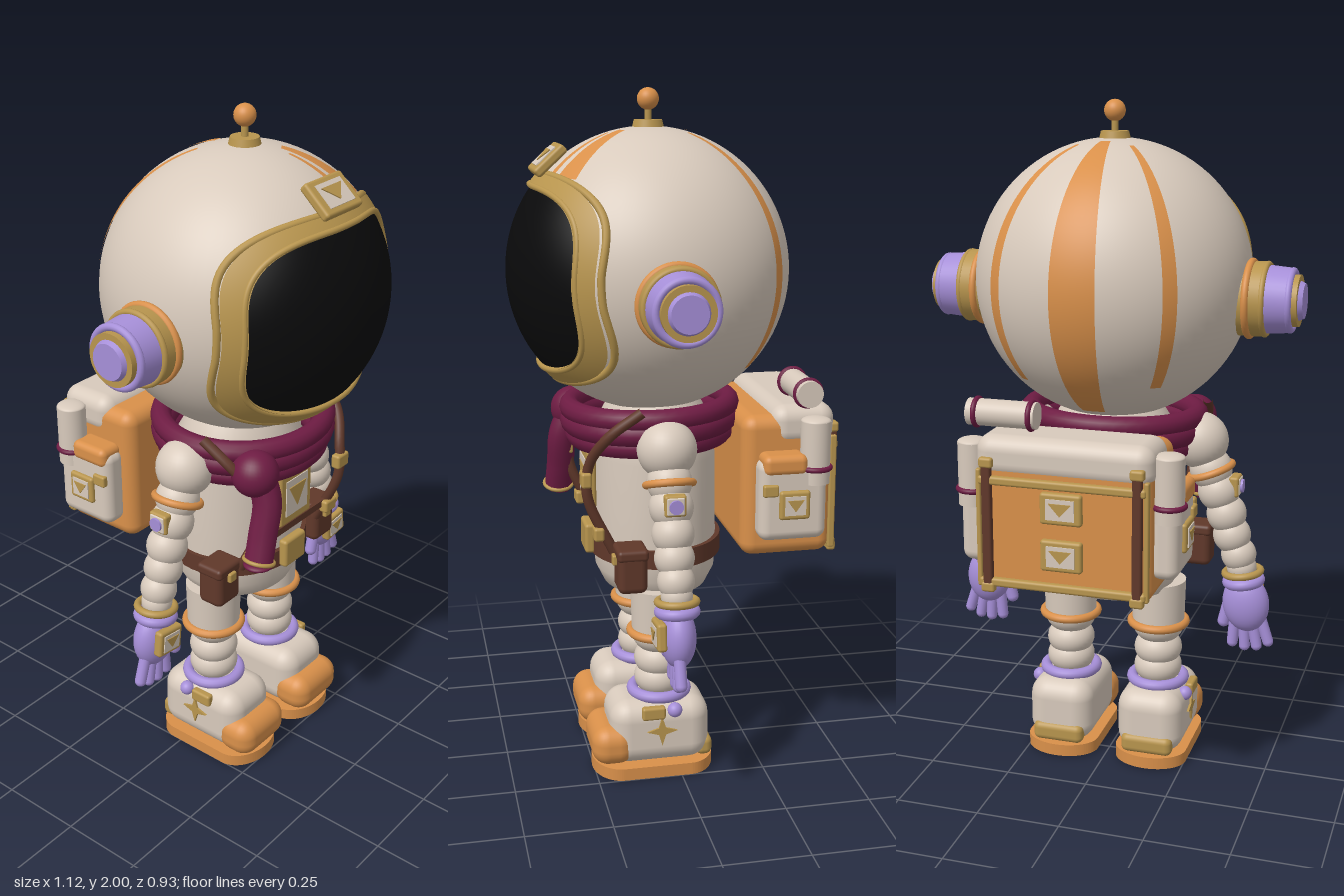
import * as THREE from 'three';
import { RoundedBoxGeometry } from 'three/addons/geometries/RoundedBoxGeometry.js';

const V = (x, y, z) => new THREE.Vector3(x, y, z);
const mat = (name, color, side = THREE.FrontSide) => Object.assign(new THREE.MeshStandardMaterial({ color, side }), { name });
const white = mat('suit white', 0xd8cabc);
const orange = mat('orange', 0xd9904a);
const gold = mat('gold', 0xb8954e);
const lavender = mat('lavender', 0xa68fd8);
const maroon = mat('maroon', 0x6e1c43);
const brown = mat('brown leather', 0x60382a);
const black = mat('visor black', 0x0a0a0b);

function add(parent, name, geo, material, pos = [0, 0, 0], rot = [0, 0, 0], scale = [1, 1, 1]) {
  const m = new THREE.Mesh(geo, material);
  m.name = name;
  m.position.set(...pos);
  m.rotation.set(...rot);
  m.scale.set(...scale);
  parent.add(m);
  return m;
}
function group(parent, name, pos = [0, 0, 0], rot = [0, 0, 0]) {
  const g = new THREE.Group();
  g.name = name;
  g.position.set(...pos);
  g.rotation.set(...rot);
  parent.add(g);
  return g;
}
const ball = (r) => new THREE.SphereGeometry(r, 32, 20);
const cyl = (r, h, r2 = r) => new THREE.CylinderGeometry(r2, r, h, 40);
const box = (w, h, d, r = 0.01) => new RoundedBoxGeometry(w, h, d, 4, r);
const ring = (R, r) => new THREE.TorusGeometry(R, r, 12, 48).rotateX(Math.PI / 2);
const tube = (pts, r, closed = false) =>
  new THREE.TubeGeometry(new THREE.CatmullRomCurve3(pts, closed), closed ? 128 : 32, r, 10, closed);

// Framed plate with a triangle, facing +z
function badge(parent, name, w, h, pos, rot) {
  const g = group(parent, name, pos, rot);
  add(g, 'badgeFrame', box(w, h, 0.028, 0.009), gold);
  add(g, 'badgePanel', new THREE.BoxGeometry(w * 0.68, h * 0.66, 0.006), white, [0, 0, 0.014]);
  const s = new THREE.Shape([new THREE.Vector2(-w * 0.27, h * 0.2), new THREE.Vector2(0, -h * 0.2), new THREE.Vector2(w * 0.27, h * 0.2)]);
  add(g, 'badgeTriangle', new THREE.ExtrudeGeometry(s, { depth: 0.005, bevelEnabled: false }), gold, [0, 0, 0.015]);
}

const R = 0.405;
// Point of a squarish oval lying on a sphere of radius r
function ovalPoint(a, hw, hh, r) {
  const p = (c) => Math.sign(c) * Math.abs(c) ** (2 / 3);
  const x = hw * p(Math.cos(a)), y = hh * p(Math.sin(a)) - 0.01;
  return V(x, y, Math.sqrt(r * r - x * x - y * y));
}
// Band of the sphere between two ovals
function ovalPatch(inner, outer, r) {
  const g = new THREE.RingGeometry(1, 2, 128, 16);
  const p = g.attributes.position, n = g.attributes.normal;
  for (let i = 0; i < p.count; i++) {
    const t = Math.hypot(p.getX(i), p.getY(i)) - 1, a = Math.atan2(p.getY(i), p.getX(i));
    const v = ovalPoint(a, inner[0] + (outer[0] - inner[0]) * t, inner[1] + (outer[1] - inner[1]) * t, r);
    p.setXYZ(i, v.x, v.y, v.z);
    v.normalize();
    n.setXYZ(i, v.x, v.y, v.z);
  }
  return g;
}
const ovalLoop = (hw, hh, r) => Array.from({ length: 64 }, (_, i) => ovalPoint((i + 0.5) / 64 * Math.PI * 2, hw, hh, r));

function buildHelmet(root) {
  const h = group(root, 'helmet', [0, 1.49, 0.05]);
  add(h, 'helmetShell', new THREE.SphereGeometry(R, 64, 48), white);
  add(h, 'visor', ovalPatch([0, 0], [0.33, 0.26], 0.411), black);
  add(h, 'visorFrame', ovalPatch([0.322, 0.252], [0.362, 0.29], 0.42), gold);
  add(h, 'visorInnerRim', tube(ovalLoop(0.325, 0.255, 0.416), 0.009, true), gold);
  add(h, 'visorOuterRim', tube(ovalLoop(0.36, 0.288, 0.41), 0.011, true), gold);
  // Painted stripes: azimuth from front, half width, polar start and end, in degrees
  const d = Math.PI / 180;
  for (const [az, hw, t0, t1] of [[180, 9.2, 13, 150], [142, 3, 18, 130], [-142, 3, 18, 130], [32, 7.5, 14, 48], [17, 2.4, 18, 46]])
    add(h, 'helmetStripe', new THREE.SphereGeometry(R + 0.003, 8, 40, (90 + az - hw) * d, 2 * hw * d, t0 * d, (t1 - t0) * d), orange);
  badge(h, 'helmetBadge', 0.16, 0.11, [0, 0.315, 0.287], [-0.83, 0, 0]);
  // Antenna
  add(h, 'antennaBase', cyl(0.045, 0.02, 0.04), gold, [0, 0.412, 0]);
  add(h, 'antennaStem', cyl(0.01, 0.06), gold, [0, 0.445, 0]);
  add(h, 'antennaBall', ball(0.031), orange, [0, 0.479, 0]);
  // Ear pods
  for (const s of [-1, 1]) {
    const e = group(h, 'earPod', [0, -0.04, 0], [0, 0, -s * Math.PI / 2]);
    add(e, 'earCollar', cyl(0.107, 0.08), gold, [0, 0.415, 0]);
    add(e, 'earCollarRing', ring(0.105, 0.011), orange, [0, 0.407, 0]);
    add(e, 'earCollarEdge', ring(0.1, 0.009), gold, [0, 0.452, 0]);
    add(e, 'earDrum', cyl(0.098, 0.07, 0.092), lavender, [0, 0.49, 0]);
    add(e, 'earDrumEdge', ring(0.083, 0.011), lavender, [0, 0.524, 0]);
    add(e, 'earTrim', cyl(0.074, 0.02), gold, [0, 0.538, 0]);
    add(e, 'earCap', cyl(0.062, 0.025, 0.05), lavender, [0, 0.549, 0]);
  }
}

function buildTorso(root) {
  const prof = [[0, 0.53], [0.13, 0.53], [0.18, 0.55], [0.208, 0.6], [0.213, 0.67], [0.21, 0.8], [0.208, 0.95], [0.2, 1.04], [0.15, 1.12]];
  add(root, 'torso', new THREE.LatheGeometry(prof.map((p) => new THREE.Vector2(...p)), 48), white, [0, 0, 0.035], [0, 0, 0], [1, 1, 0.86]);
  add(root, 'belt', cyl(0.224, 0.055), brown, [0, 0.675, 0.035], [0, 0, 0], [1, 1, 0.88]);
  add(root, 'beltBuckle', box(0.1, 0.09, 0.03), gold, [0, 0.695, 0.238]);
  badge(root, 'chestBadge', 0.15, 0.175, [0, 0.885, 0.235]);
  add(root, 'chestStrap', new THREE.BoxGeometry(0.38, 0.022, 0.012), brown, [0, 0.77, 0.225]);
  for (const s of [-1, 1]) {
    add(root, 'beltPouch', box(0.1, 0.12, 0.085, 0.02), brown, [s * 0.237, 0.66, 0.15]);
    add(root, 'pouchFlap', box(0.105, 0.035, 0.09, 0.012), brown, [s * 0.237, 0.715, 0.15]);
    add(root, 'pouchClasp', box(0.03, 0.03, 0.015, 0.005), gold, [s * 0.237, 0.695, 0.197]);
    const path = [V(s * 0.27, 1.13, 0.12), V(s * 0.25, 1.06, 0.21), V(s * 0.2, 0.97, 0.26), V(s * 0.19, 0.87, 0.265), V(s * 0.185, 0.7, 0.19)];
    add(root, 'shoulderStrap', tube(path, 0.015), brown);
    add(root, 'strapBuckle', box(0.055, 0.045, 0.03, 0.008), gold, [s * 0.19, 0.925, 0.27]);
    add(root, 'lowerStrapBuckle', box(0.055, 0.04, 0.03, 0.008), gold, [s * 0.185, 0.76, 0.235]);
  }
  // Scarf: stacked folds, knot and hanging tail
  for (const [y, r, t] of [[1.095, 0.25, 0.032], [1.055, 0.245, 0.036], [1.015, 0.232, 0.034]])
    add(root, 'scarfFold', ring(r, t), maroon, [0, y, 0.05], [0.03, 0, 0.02], [1, 1, 0.94]);
  add(root, 'scarfKnot', ball(0.068), maroon, [-0.2, 1.04, 0.25]);
  add(root, 'scarfTail', tube([V(-0.19, 1.05, 0.25), V(-0.19, 0.96, 0.285), V(-0.215, 0.86, 0.29), V(-0.24, 0.78, 0.295)], 0.043), maroon);
  add(root, 'scarfTailEnd', ball(0.043), maroon, [-0.24, 0.78, 0.295], [0, 0, 0], [1, 0.3, 1]);
  add(root, 'scarfTailRing', ring(0.043, 0.006), gold, [-0.237, 0.79, 0.295], [0, 0, -0.3]);
}

function buildArm(root, s) {
  const a = group(root, s > 0 ? 'leftArm' : 'rightArm', [0, 0, 0.05]);
  for (const [x, y, r] of [[0.265, 1.02, 0.085], [0.3, 0.935, 0.064], [0.325, 0.87, 0.063], [0.35, 0.8, 0.06], [0.368, 0.735, 0.057], [0.39, 0.675, 0.053], [0.4, 0.635, 0.045]])
    add(a, 'armSegment', ball(r), white, [s * x, y, 0]);
  add(a, 'upperArmRing', ring(0.066, 0.011), orange, [s * 0.3, 0.93, 0], [0, 0, s * 0.35]);
  // Round control on the outer arm
  const c = group(a, 'armControl', [s * 0.375, 0.89, 0], [0, s * Math.PI / 2, 0]);
  add(c, 'armControlPlate', box(0.062, 0.062, 0.03, 0.008), gold);
  add(c, 'armControlPanel', box(0.05, 0.05, 0.012, 0.004), white, [0, 0, 0.012]);
  add(c, 'armControlButton', cyl(0.02, 0.012), lavender, [0, 0, 0.019], [Math.PI / 2, 0, 0]);
  // Glove
  const g = group(a, 'glove', [s * 0.405, 0.61, 0], [0, 0, s * 0.12]);
  add(g, 'wristRing', ring(0.054, 0.011), gold, [0, 0.01, 0]);
  add(g, 'cuff', ring(0.048, 0.017), lavender, [0, -0.018, 0]);
  add(g, 'palm', ball(0.075), lavender, [0, -0.09, 0], [0, 0, 0], [0.95, 1.2, 0.68]);
  for (let i = 0; i < 4; i++)
    add(g, 'finger', new THREE.CapsuleGeometry(0.017, 0.075, 6, 14), lavender, [(i - 1.5) * 0.032, -0.18 - (i % 3 ? 0.012 : 0), 0.005], [0, 0, (i - 1.5) * 0.13]);
  add(g, 'thumb', new THREE.CapsuleGeometry(0.019, 0.06, 6, 14), lavender, [-s * 0.068, -0.125, 0.015], [0, 0, -s * 0.35]);
  badge(g, 'gloveBadge', 0.095, 0.08, [0, -0.08, 0.052]);
}

function buildLeg(root, s) {
  const l = group(root, s > 0 ? 'leftLeg' : 'rightLeg', [s * 0.143, 0, 0.05]);
  add(l, 'thigh', cyl(0.08, 0.14, 0.084), white, [0, 0.5, 0]);
  add(l, 'kneeRing', ring(0.084, 0.013), orange, [0, 0.432, 0]);
  for (const [y, r] of [[0.425, 0.08], [0.345, 0.074], [0.285, 0.074]])
    add(l, 'legSegment', ball(r), white, [0, y, 0], [0, 0, 0], [1, 0.8, 1]);
  add(l, 'ankleRing', ring(0.08, 0.017), lavender, [0, 0.245, 0]);
  add(l, 'ankleKnob', ball(0.022), lavender, [s * 0.095, 0.21, -0.03]);
  // Boot
  const b = group(l, 'boot');
  add(b, 'bootBody', box(0.205, 0.2, 0.3, 0.06), white, [0, 0.137, 0.01]);
  add(b, 'toeCap', box(0.212, 0.12, 0.13, 0.05), orange, [0, 0.1, 0.15]);
  add(b, 'heelPatch', box(0.16, 0.06, 0.05, 0.02), gold, [0, 0.072, -0.125]);
  const sole = new THREE.Shape();
  sole.absellipse(0, 0.1, 0.112, 0.083, 0, Math.PI);
  sole.absellipse(0, -0.1, 0.112, 0.083, Math.PI, Math.PI * 2);
  add(b, 'sole', new THREE.ExtrudeGeometry(sole, { depth: 0.037, bevelEnabled: false, curveSegments: 24 }), orange, [0, 0.003, 0.023], [-Math.PI / 2, 0, 0]);
  add(b, 'soleEmblem', cyl(0.02, 0.004), black, [0, 0.002, 0.03]);
  // Four-pointed star and clip on the outer side
  const star = new THREE.Shape(Array.from({ length: 8 }, (_, i) => {
    const r = i % 2 ? 0.015 : 0.045;
    return new THREE.Vector2(r * Math.sin(i * Math.PI / 4), r * Math.cos(i * Math.PI / 4));
  }));
  const starGeo = new THREE.ExtrudeGeometry(star, { depth: 0.009, bevelEnabled: false });
  add(b, 'bootStar', starGeo, gold, [s * 0.1, 0.15, 0.01], [0, s * Math.PI / 2, 0]);
  add(b, 'bootClip', box(0.025, 0.04, 0.07, 0.008), gold, [s * 0.1, 0.208, 0.035]);
}

function buildBackpack(root) {
  const p = group(root, 'backpack');
  add(p, 'packBody', box(0.5, 0.42, 0.27, 0.04), orange, [0, 0.885, -0.31]);
  add(p, 'packLid', box(0.51, 0.12, 0.19, 0.045), white, [0, 1.062, -0.355]);
  for (const y of [1.0, 0.705]) add(p, 'packBar', box(0.48, 0.025, 0.025, 0.008), gold, [0, y, -0.448]);
  for (const y of [0.935, 0.8]) badge(p, 'packBadge', 0.12, 0.09, [0, y, -0.447], [0, Math.PI, 0]);
  for (const s of [-1, 1]) {
    add(p, 'packStrap', box(0.028, 0.37, 0.022, 0.007), brown, [s * 0.215, 0.87, -0.451]);
    add(p, 'packEdgeTrim', box(0.014, 0.34, 0.02, 0.005), gold, [s * 0.24, 0.86, -0.445]);
    for (const y of [1.05, 0.69]) add(p, 'strapEnd', box(0.04, 0.03, 0.026, 0.008), gold, [s * 0.215, y, -0.451]);
    // Side pocket and canister
    add(p, 'sidePocket', box(0.08, 0.24, 0.2, 0.03), white, [s * 0.275, 0.86, -0.31]);
    add(p, 'pocketFlap', box(0.085, 0.06, 0.13, 0.02), orange, [s * 0.278, 0.965, -0.285]);
    badge(p, 'pocketBadge', 0.09, 0.085, [s * 0.313, 0.85, -0.31], [0, s * Math.PI / 2, 0]);
    add(p, 'pocketClip', box(0.02, 0.035, 0.045, 0.006), gold, [s * 0.315, 0.895, -0.24]);
    add(p, 'canister', cyl(0.043, 0.18), white, [s * 0.283, 0.995, -0.378]);
    add(p, 'canisterTop', ball(0.043), white, [s * 0.283, 1.085, -0.378], [0, 0, 0], [1, 0.3, 1]);
    add(p, 'canisterRing', ring(0.043, 0.008), maroon, [s * 0.283, 0.95, -0.378]);
  }
  // Rolled mat on top
  const r = group(p, 'rolledMat', [0.2, 1.165, -0.355], [0, 0, Math.PI / 2]);
  add(r, 'matRoll', cyl(0.038, 0.2), white);
  for (const y of [-0.075, 0.085]) add(r, 'matBand', ring(0.037, 0.008), maroon, [0, y, 0]);
}

export function createModel() {
  const root = new THREE.Group();
  root.name = 'astronaut';
  buildHelmet(root);
  buildTorso(root);
  buildBackpack(root);
  for (const s of [-1, 1]) {
    buildArm(root, s);
    buildLeg(root, s);
  }
  return root;
}
